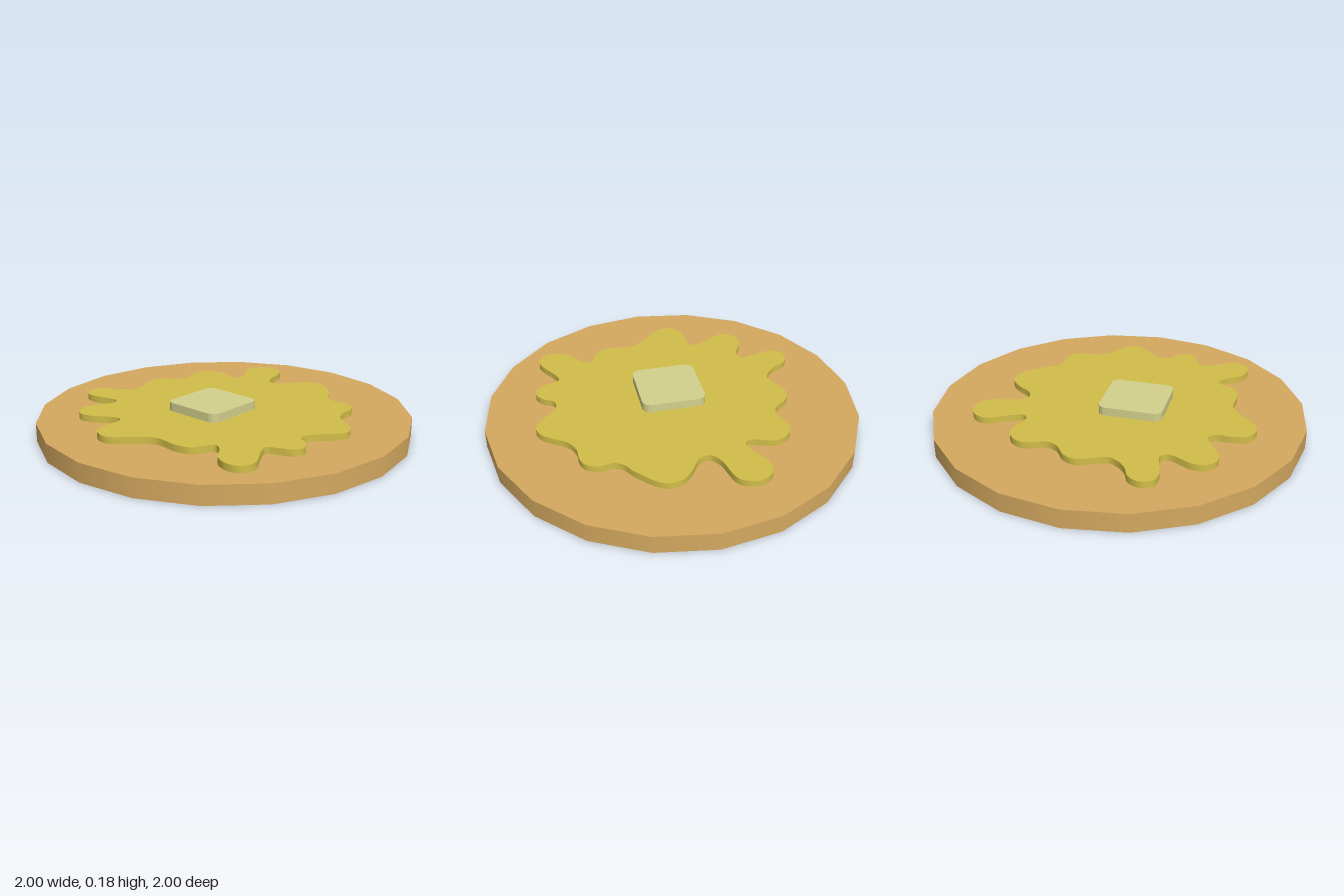
import * as THREE from 'three';
import { toCreasedNormals } from 'three/addons/utils/BufferGeometryUtils.js';

// Syrup outline as x, z pairs in hundredths of a unit
const SYRUP = [
  -30, -74, -23.5, -71, -20, -64, -15, -59, -10, -57, 5, -63, 12, -60, 17, -53.5,
  22.5, -51, 35, -54.5, 42, -51, 45, -44, 43, -36, 41.5, -31, 44, -28, 50, -29.5,
  63, -36, 70, -33, 73, -26, 69.5, -17, 53.5, -12, 49, -7.5, 51, -2, 58, 3,
  64, 9, 65, 18, 53, 31, 47, 35, 44.5, 40, 45.5, 46.5, 43, 53, 38, 55.5,
  30, 56, 23.5, 59.5, 19, 66, 14, 72, 7.5, 74, -4, 65, -9, 61.5, -14, 62.5,
  -17, 67.5, -22.5, 71, -28, 69, -31.5, 61.5, -34, 57, -40, 59, -53, 66, -60, 63,
  -61.5, 55.5, -58, 48, -51, 43, -48, 38, -51, 35, -58, 31.5, -60.5, 23.5, -60, 11,
  -63, 5, -75.5, -9.5, -73, -19, -65, -22, -57, -22, -53.5, -24, -54.5, -30, -60, -38.5,
  -61.5, -46, -58, -51, -51, -52.5, -37.5, -47, -34, -49.5, -35, -56, -37, -64, -36, -71,
];

// Lay a shape flat (shape y becomes z) as a slab between two heights
function slab(name, shape, bottom, top, material) {
  const geometry = new THREE.ExtrudeGeometry(shape, {
    depth: top - bottom, bevelEnabled: false, curveSegments: 8,
  });
  geometry.rotateX(Math.PI / 2).translate(0, top, 0);
  const mesh = new THREE.Mesh(toCreasedNormals(geometry, 0.8), material);
  mesh.name = name;
  return mesh;
}

function roundedRect(x0, y0, x1, y1, r) {
  const s = new THREE.Shape();
  s.absarc(x1 - r, y0 + r, r, -Math.PI / 2, 0);
  s.absarc(x1 - r, y1 - r, r, 0, Math.PI / 2);
  s.absarc(x0 + r, y1 - r, r, Math.PI / 2, Math.PI);
  s.absarc(x0 + r, y0 + r, r, Math.PI, Math.PI * 1.5);
  return s;
}

export function createModel() {
  const flat = (name, color) => Object.assign(new THREE.MeshStandardMaterial({ color }), { name });
  const cakeColor = flat('golden brown', 0xd4a960);
  const syrupColor = flat('syrup yellow', 0xd2be49);
  const butterColor = flat('pale butter', 0xd3d18d);

  const group = new THREE.Group();
  group.name = 'pancake';

  // Pancake: twenty-sided disc with smooth rim
  const cake = new THREE.Mesh(new THREE.CylinderGeometry(1, 1, 0.1, 20), cakeColor);
  cake.name = 'cake';
  cake.position.y = 0.05;
  group.add(cake);

  // Syrup puddle: closed smooth curve
  const points = [];
  for (let i = 0; i < SYRUP.length; i += 2) {
    points.push(new THREE.Vector3(SYRUP[i] / 100, SYRUP[i + 1] / 100, 0));
  }
  const outline = new THREE.CatmullRomCurve3(points, true).getPoints(points.length * 4);
  outline.pop();
  const puddle = new THREE.Shape(outline.map((p) => new THREE.Vector2(p.x, p.y)));
  group.add(slab('syrup', puddle, 0.1, 0.136, syrupColor));

  // Butter pat
  group.add(slab('butter', roundedRect(-0.268, -0.172, 0.075, 0.172, 0.045), 0.136, 0.182, butterColor));

  return group;
}
